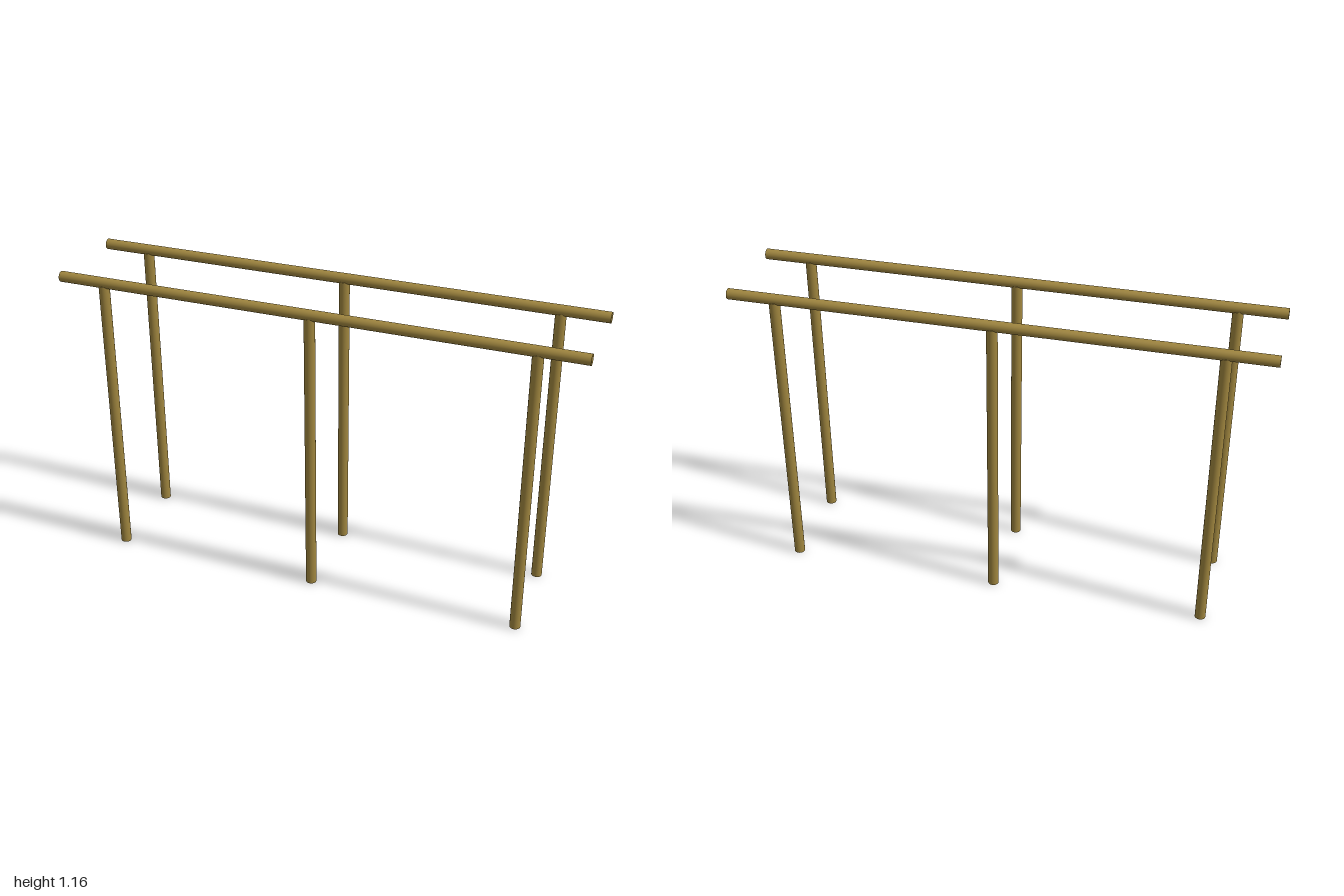
import * as THREE from 'three';

export function createModel() {
  const model = new THREE.Group();
  const wood = new THREE.MeshStandardMaterial({ color: 0xa0863f });
  wood.name = 'ochre wood';

  const radius = 0.0205;
  const railY = 1.142;
  const postHeight = 1.132;
  const railGeometry = new THREE.CylinderGeometry(radius, radius, 2, 32).rotateZ(Math.PI / 2);
  const postGeometry = new THREE.CylinderGeometry(radius, radius, postHeight, 32)
    .translate(0, postHeight / 2, 0);

  function add(parent, name, geometry, x, y) {
    const mesh = new THREE.Mesh(geometry, wood);
    mesh.name = name;
    mesh.position.set(x, y, 0);
    parent.add(mesh);
  }

  // Two parallel bars, each a rail carried by three posts
  for (const [side, z] of [['front', 0.179], ['back', -0.179]]) {
    const bar = new THREE.Group();
    bar.name = side + 'Bar';
    bar.position.z = z;
    add(bar, side + 'Rail', railGeometry, 0, railY);
    for (const [place, x] of [['Right', -0.82], ['Middle', 0], ['Left', 0.82]]) {
      add(bar, side + place + 'Post', postGeometry, x, 0);
    }
    model.add(bar);
  }
  return model;
}
